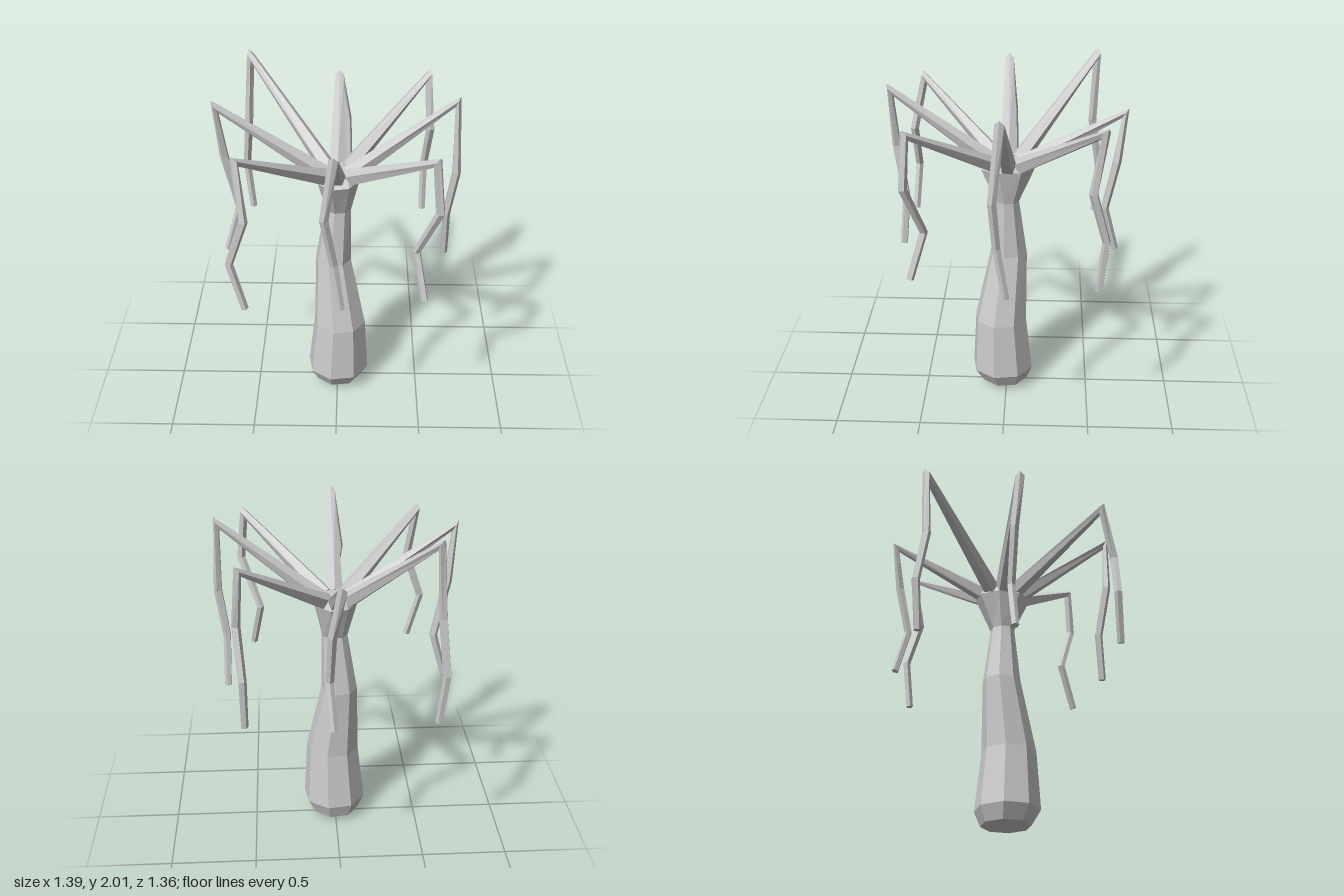
import * as THREE from 'three';

const material = new THREE.MeshStandardMaterial({ color: 0xcccccc, flatShading: true });

// Skin a list of rings (each an array of Vector3) and close both ends.
function loft(name, rings, startCentre, endCentre) {
  const pos = [];
  const tri = (...pts) => pts.forEach((p) => pos.push(p.x, p.y, p.z));
  const n = rings[0].length;
  const last = rings[rings.length - 1];
  for (let j = 0; j < n; j++) {
    const k = (j + 1) % n;
    for (let i = 0; i < rings.length - 1; i++) {
      const a = rings[i], b = rings[i + 1];
      tri(a[j], a[k], b[k]);
      tri(a[j], b[k], b[j]);
    }
    tri(startCentre, rings[0][k], rings[0][j]);
    tri(endCentre, last[j], last[k]);
  }
  const geo = new THREE.BufferGeometry();
  geo.setAttribute('position', new THREE.Float32BufferAttribute(pos, 3));
  geo.computeVertexNormals();
  const mesh = new THREE.Mesh(geo, material);
  mesh.name = name;
  return mesh;
}

// Ring around centre c in the plane of u and v.
function ring(c, u, v, ru, rv, sides, offset) {
  return Array.from({ length: sides }, (_, j) => {
    const a = offset + (j / sides) * Math.PI * 2;
    return c.clone().addScaledVector(u, Math.cos(a) * ru).addScaledVector(v, Math.sin(a) * rv);
  });
}

// Eight-sided trunk: [y, x, z, radiusX, radiusZ]
function makeTrunk() {
  const sections = [
    [0.03, 0, 0.015, 0.145, 0.145],
    [0.12, 0.005, 0.025, 0.19, 0.19],
    [0.47, 0.015, 0.035, 0.16, 0.16],
    [0.9, -0.025, -0.012, 0.108, 0.112],
    [1.25, 0.003, -0.003, 0.077, 0.072],
    [1.46, 0, 0, 0.13, 0.168],
    [1.51, 0, -0.02, 0.105, 0.12],
  ];
  const X = new THREE.Vector3(1, 0, 0), Z = new THREE.Vector3(0, 0, 1);
  const rings = sections.map(([y, x, z, rx, rz]) =>
    ring(new THREE.Vector3(x, y, z), Z, X, rz, rx, 8, -0.24));
  return loft('trunk', rings, new THREE.Vector3(0, 0, 0.015), new THREE.Vector3(0, 1.51, -0.02));
}

// One limb: thick rising branch, sharp elbow, then a kinked hanging strand.
function makeBranch(name, joints) {
  const tip = new THREE.Vector3(...joints[0]);
  const out = new THREE.Vector3(tip.x, 0, tip.z).normalize();
  const side = new THREE.Vector3(0, 1, 0).cross(out);
  const root = out.clone().multiplyScalar(0.075).add(new THREE.Vector3(0, 1.475, -0.01));
  tip.y -= 0.022;
  tip.addScaledVector(out, -0.012);
  const path = [root, tip, ...joints.slice(1).map((p) => new THREE.Vector3(...p))];
  const radii = [0.052, 0.027, 0.026, 0.024, 0.022];
  const rings = path.map((p, i) => {
    const t = new THREE.Vector3();
    if (i > 0) t.add(p.clone().sub(path[i - 1]).normalize());
    if (i < path.length - 1) t.add(path[i + 1].clone().sub(p).normalize());
    t.normalize();
    const u = side.clone().addScaledVector(t, -side.dot(t)).normalize();
    const v = t.clone().cross(u);
    const mitre = i === 1 ? 1.35 : 1;
    return ring(p, u, v, radii[i], radii[i] * mitre, 5, Math.PI / 2);
  });
  return loft(name, rings, path[0], path[path.length - 1]);
}

export function createModel() {
  const group = new THREE.Group();
  group.name = 'weepingTree';
  group.add(makeTrunk());

  // Elbow, two kinks and the hanging end of every limb
  const limbs = {
    frontBranch: [[-0.01, 1.93, 0.67], [-0.06, 1.56, 0.64], [-0.01, 1.25, 0.59], [0.03, 0.97, 0.61]],
    frontLeftBranch: [[0.53, 1.85, 0.52], [0.55, 1.54, 0.53], [0.44, 1.24, 0.44], [0.49, 0.97, 0.52]],
    leftBranch: [[0.67, 1.96, 0.01], [0.67, 1.52, 0.05], [0.63, 1.24, 0.03], [0.635, 0.94, -0.02]],
    backLeftBranch: [[0.54, 1.88, -0.54], [0.555, 1.53, -0.48], [0.53, 1.24, -0.56], [0.53, 0.94, -0.53]],
    backBranch: [[0, 1.81, -0.68], [0.05, 1.52, -0.63], [0.06, 1.23, -0.57], [0.04, 0.96, -0.64]],
    backRightBranch: [[-0.53, 2.0, -0.53], [-0.55, 1.56, -0.51], [-0.58, 1.24, -0.56], [-0.55, 0.94, -0.54]],
    rightBranch: [[-0.69, 1.92, 0.01], [-0.645, 1.58, -0.02], [-0.575, 1.24, -0.03], [-0.655, 0.95, -0.02]],
    frontRightBranch: [[-0.53, 1.85, 0.53], [-0.485, 1.51, 0.59], [-0.575, 1.24, 0.58], [-0.5, 0.96, 0.6]],
  };
  for (const [name, joints] of Object.entries(limbs)) group.add(makeBranch(name, joints));
  return group;
}
